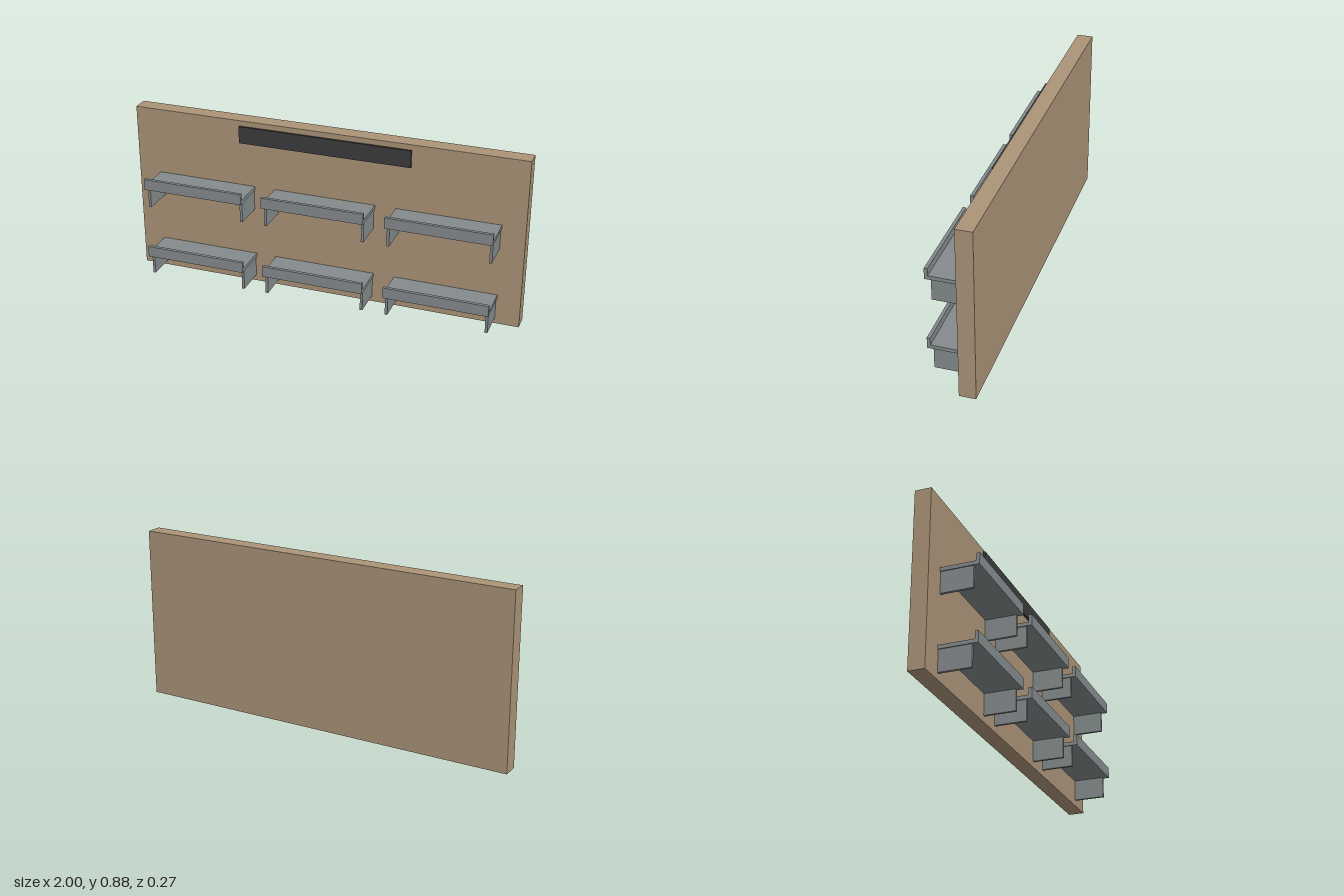
import * as THREE from 'three';

const wood = new THREE.MeshStandardMaterial({ color: 0xab9478 });
const metal = new THREE.MeshStandardMaterial({ color: 0x858b8d });
const dark = new THREE.MeshStandardMaterial({ color: 0x3c3c3e });

// Box given by its minimum and maximum on each axis
function box(name, material, [x0, x1], [y0, y1], [z0, z1]) {
  const mesh = new THREE.Mesh(new THREE.BoxGeometry(x1 - x0, y1 - y0, z1 - z0), material);
  mesh.position.set((x0 + x1) / 2, (y0 + y1) / 2, (z0 + z1) / 2);
  mesh.name = name;
  return mesh;
}

const WALL_FRONT = -0.053;
const HALF = 0.26; // half the shelf length

// Shelf with an upturned front lip, its underside at y = 0
function createShelf() {
  const shelf = new THREE.Group();
  shelf.name = 'shelf';

  // L-shaped section drawn in (z, y), extruded along x
  const section = new THREE.Shape([
    [WALL_FRONT, 0], [0.1335, 0], [0.1335, 0.056],
    [0.117, 0.056], [0.117, 0.019], [WALL_FRONT, 0.019],
  ].map(([z, y]) => new THREE.Vector2(z, y)));
  const geometry = new THREE.ExtrudeGeometry(section, { depth: 2 * HALF, bevelEnabled: false });
  geometry.rotateY(-Math.PI / 2).translate(HALF, 0, 0);
  const board = new THREE.Mesh(geometry, metal);
  board.name = 'shelfBoard';
  shelf.add(board);

  // Support plates under both ends
  for (const side of [-1, 1]) {
    const x = side * 0.2485;
    shelf.add(box(side > 0 ? 'leftBracket' : 'rightBracket', metal,
      [x - 0.0065, x + 0.0065], [-0.107, 0], [WALL_FRONT, 0.104]));
  }
  return shelf;
}

export function createModel() {
  const model = new THREE.Group();
  model.name = 'wallShelfDisplay';

  model.add(box('backPanel', wood, [-1, 1], [0, 0.875], [-0.1335, WALL_FRONT]));
  model.add(box('headerPlate', dark, [-0.4375, 0.4375], [0.764, 0.851], [-0.045, -0.034]));

  // Two rows of three shelves
  for (const y of [0.139, 0.514]) {
    for (const x of [-0.625, 0, 0.625]) {
      const shelf = createShelf();
      shelf.position.set(x, y, 0);
      model.add(shelf);
    }
  }
  return model;
}
